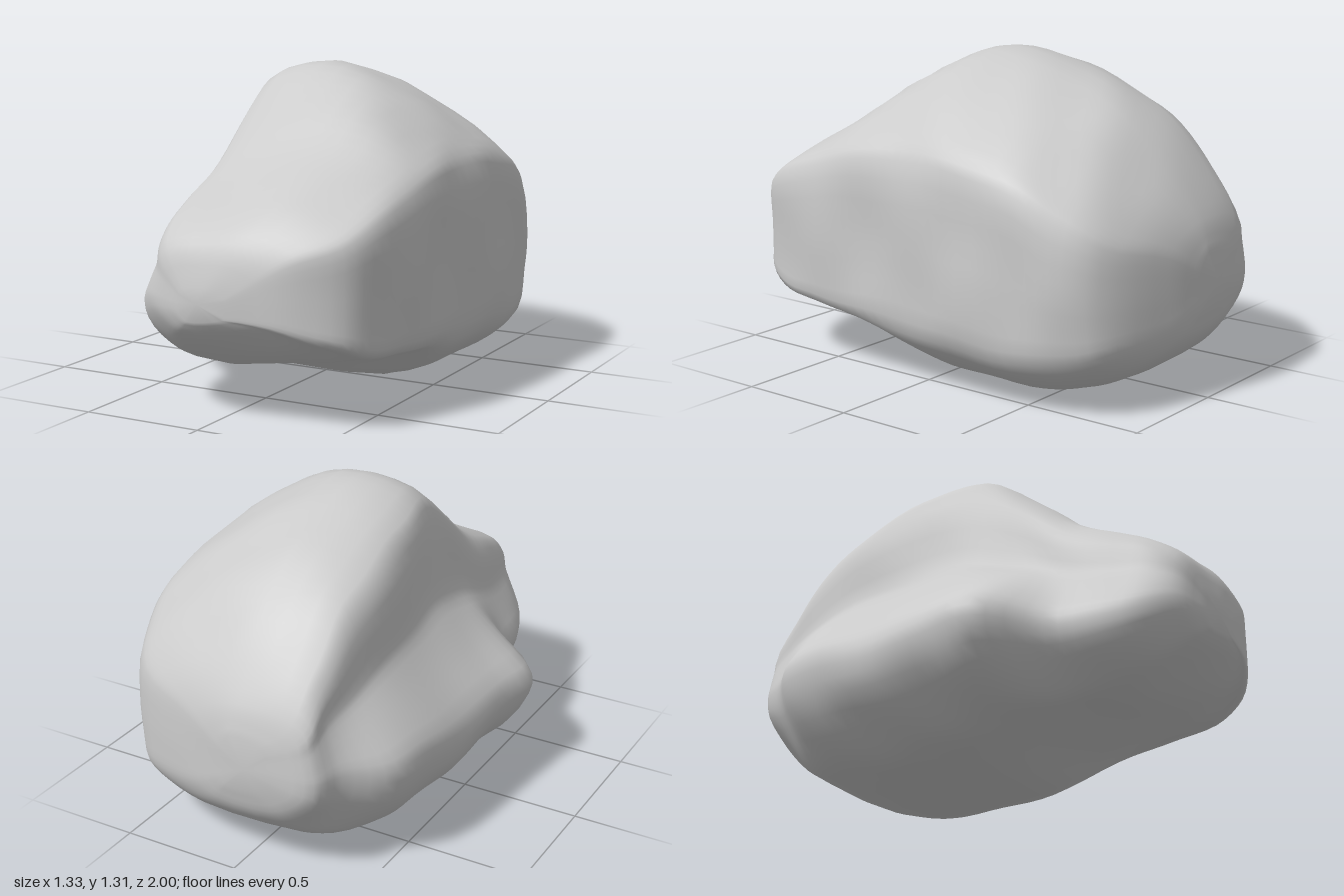
import * as THREE from 'three';

// Cross-sections from front to back:
// z, bottom y, crest y, right slope y, ledge x, ledge y, ridge edge x, right face x,
// right shoulder y, fullness of the left side (0 hollow above the ledge, 1 bulging)
const SECTIONS = [
  [0.99, 0.39, 0.52, 0.52, -0.09, 0.45, -0.08, 0.12, 0.49, 0.8],
  [0.945, 0.33, 0.67, 0.69, -0.23, 0.45, -0.19, 0.37, 0.64, 0.6],
  [0.84, 0.24, 0.76, 0.80, -0.34, 0.42, -0.25, 0.54, 0.72, 0.5],
  [0.69, 0.16, 0.84, 0.88, -0.41, 0.40, -0.27, 0.61, 0.81, 0.4],
  [0.48, 0.12, 0.95, 0.98, -0.45, 0.40, -0.28, 0.64, 0.88, 0.3],
  [0.28, 0.07, 1.12, 1.12, -0.66, 0.42, -0.28, 0.64, 0.93, 0],
  [0.05, 0.01, 1.28, 1.19, -0.63, 0.42, -0.30, 0.64, 0.96, 0],
  [-0.20, 0.00, 1.26, 1.17, -0.61, 0.40, -0.34, 0.66, 0.95, 0],
  [-0.48, 0.00, 1.17, 1.08, -0.59, 0.42, -0.35, 0.65, 0.90, 0],
  [-0.68, 0.04, 1.05, 0.97, -0.54, 0.42, -0.34, 0.62, 0.79, 0],
  [-0.84, 0.12, 0.87, 0.81, -0.39, 0.43, -0.33, 0.52, 0.69, 0.2],
  [-0.95, 0.23, 0.69, 0.66, -0.33, 0.43, -0.31, 0.23, 0.60, 0.5],
  [-0.99, 0.34, 0.56, 0.54, -0.17, 0.44, -0.15, 0.05, 0.50, 0.8],
];
const AROUND = 54;
const ALONG = 48;
const mix = THREE.MathUtils.lerp;

// One closed outline, counter-clockwise from the bottom right
function outline([z, yB, yC, yM, xL, yL, xE, xR, yS, full]) {
  const h = yC - yB;
  // the underside is hollowed towards the front right
  const lift = h * 0.06 * THREE.MathUtils.smoothstep(z, 0, 0.4);
  const points = [
    // underside and right face
    [xR * 0.47, yB + lift], [xR * 0.78, yB + h * 0.06 + lift], [xR * 0.96, yB + h * 0.15],
    [xR * 0.99, yB + h * 0.3], [xR, mix(yB, yS, 0.65)], [xR * 0.97, mix(yB, yS, 0.93)],
    // shoulder, crest and ridge edge
    [xR * 0.85, mix(yS, yM, 0.15)], [xR * 0.45, yM], [0, yC],
    [xE * 0.82, yC - h * 0.06], [xE, yC - h * 0.17],
    // wall down to the ledge
    [mix(xE, xL, 0.08 + full * 0.2), mix(yL, yC, 0.44 + full * 0.08)],
    [mix(xE, xL, 0.32 + full * 0.3), mix(yL, yC, 0.32)],
    [mix(xE, xL, 0.64 + full * 0.2), mix(yL, yC, 0.18)],
    // ledge and left underside
    [xL, yL], [xL * 0.95, mix(yB, yL, 0.6)],
    [xL * 0.68, mix(yB, yL, 0.18)], [xL * 0.45, yB + h * 0.01],
  ].map(([x, y]) => new THREE.Vector3(x, y, z));
  return new THREE.CatmullRomCurve3(points, true, 'centripetal');
}

// Gentle weathering bumps
function weather(p) {
  const a = Math.sin(p.x * 9 + p.z * 6 + 1) * Math.sin(p.y * 10 - p.z * 4);
  const b = Math.sin(p.z * 15 + p.y * 8) * Math.sin(p.x * 13 + 2);
  p.x += 0.008 * a + 0.004 * b;
  p.y += 0.006 * b;
  p.z += 0.005 * a;
  return p;
}

function boulderGeometry() {
  const loops = SECTIONS.map(outline);
  const pos = [];
  const index = [];
  // Long curves join matching points of the outlines
  const rails = Array.from({ length: AROUND }, (_, j) =>
    new THREE.CatmullRomCurve3(loops.map((c) => c.getPoint(j / AROUND)), false, 'centripetal'));
  for (let i = 0; i <= ALONG; i++) {
    for (const rail of rails) pos.push(...weather(rail.getPoint(i / ALONG)).toArray());
  }
  for (let i = 0; i < ALONG; i++) {
    for (let j = 0; j < AROUND; j++) {
      const a = i * AROUND + j;
      const b = i * AROUND + ((j + 1) % AROUND);
      index.push(a, a + AROUND, b, b, a + AROUND, b + AROUND);
    }
  }
  // Blunt ends
  const front = pos.length / 3;
  pos.push(0, 0.46, 1, -0.06, 0.44, -1);
  const last = ALONG * AROUND;
  for (let j = 0; j < AROUND; j++) {
    const k = (j + 1) % AROUND;
    index.push(front, j, k, front + 1, last + k, last + j);
  }
  const geo = new THREE.BufferGeometry();
  geo.setAttribute('position', new THREE.Float32BufferAttribute(pos, 3));
  geo.setIndex(index);
  geo.computeVertexNormals();

  // Rest on the ground
  geo.computeBoundingBox();
  geo.translate(0, -geo.boundingBox.min.y, 0);
  return geo;
}

export function createModel() {
  const group = new THREE.Group();
  group.name = 'rock';
  const boulder = new THREE.Mesh(boulderGeometry(), new THREE.MeshStandardMaterial({ color: 0xcccccc }));
  boulder.name = 'boulder';
  group.add(boulder);
  return group;
}
